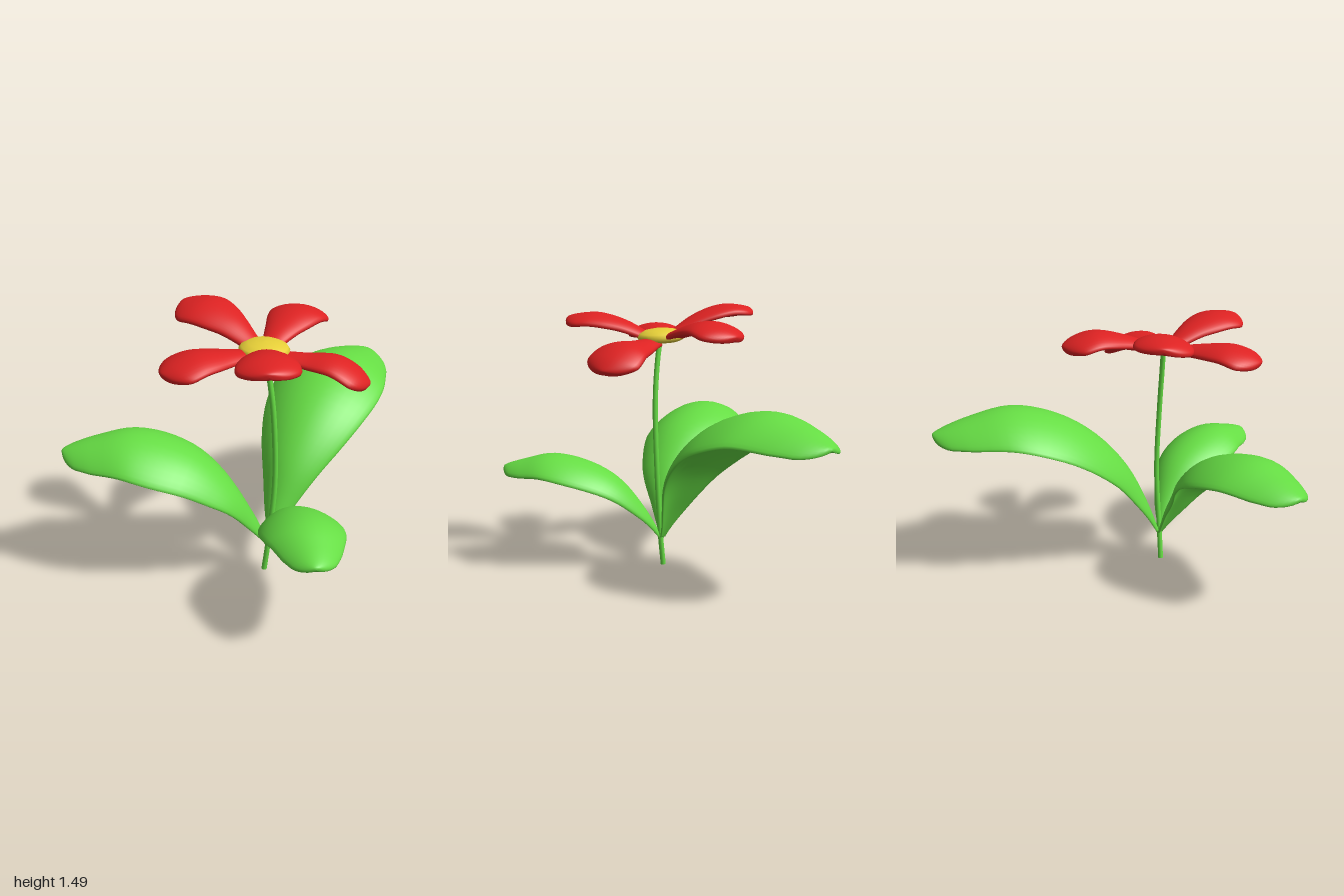
import * as THREE from 'three';

const V = (x, y, z) => new THREE.Vector3(x, y, z);
const green = new THREE.MeshStandardMaterial({ color: 0x66dd44 });
const red = new THREE.MeshStandardMaterial({ color: 0xdd2222 });
const yellow = new THREE.MeshStandardMaterial({ color: 0xe6cf38 });

// Arched blade swept along a spine. Evenly spaced outline values set the
// relative width, and the last stretch (cap) is rounded off to a blunt tip.
function blade(points, { width, thick, camber, outline, cap, roll = 0 }) {
  const curve = new THREE.CatmullRomCurve3(points);
  const spread = new THREE.SplineCurve(outline.map(k => new THREE.Vector2(0, k)));
  const rows = 40, ring = 32, pos = [], index = [];
  for (let i = 0; i <= rows; i++) {
    const t = i === rows ? 1 : (1 - Math.cos(Math.PI * i / rows)) / 2;
    const p = curve.getPointAt(t), T = curve.getTangentAt(t);
    const side = T.clone().cross(V(0, 1, 0)).normalize().applyAxisAngle(T, -roll);
    const up = side.clone().cross(T);
    const e = Math.max(0, (t - 1 + cap) / cap);
    const k = i === 0 ? 0 : spread.getPoint(t).y * Math.sqrt(Math.max(0, 1 - e * e));
    const w = width * k, h = thick * k ** 0.4;
    for (let j = 0; j < ring; j++) {
      const ang = j / ring * Math.PI * 2, u = Math.cos(ang), s = Math.sin(ang);
      const lift = h * Math.sign(s) * Math.abs(s) ** 0.7 - camber * w * u * u;
      const q = p.clone().addScaledVector(side, w * u).addScaledVector(up, lift);
      pos.push(q.x, q.y, q.z);
      if (i < rows) {
        const n = (j + 1) % ring, A = i * ring + j, B = i * ring + n;
        index.push(A, A + ring, B, B, A + ring, B + ring);
      }
    }
  }
  const g = new THREE.BufferGeometry();
  g.setAttribute('position', new THREE.Float32BufferAttribute(pos, 3));
  g.setIndex(index);
  g.computeVertexNormals();
  return g;
}

export function createModel() {
  const model = new THREE.Group();
  const add = (name, geometry, material) => {
    const m = new THREE.Mesh(geometry, material);
    m.name = name;
    model.add(m);
    return m;
  };

  // Stem
  const stem = new THREE.CatmullRomCurve3([
    V(0.16, 0, 0.305), V(0.185, 0.2, 0.3), V(0.215, 0.55, 0.288),
    V(0.212, 0.95, 0.3), V(0.19, 1.16, 0.305), V(0.165, 1.31, 0.305)]);
  add('stem', new THREE.TubeGeometry(stem, 40, 0.015, 12), green);
  const foot = add('stemFoot', new THREE.CircleGeometry(0.015, 12), green);
  foot.position.set(0.16, 0.001, 0.305);
  foot.rotation.x = Math.PI / 2;

  // Three leaves arching out from the lower stem
  const leaf = {
    thick: 0.027, camber: 0.4, cap: 0.06,
    outline: [0.05, 0.28, 0.54, 0.78, 0.94, 1, 0.92, 0.7, 0.4],
  };
  add('backLeaf', blade([
    V(0.18, 0.17, 0.29), V(0.185, 0.38, 0.2), V(0.195, 0.6, 0.08), V(0.205, 0.79, -0.1),
    V(0.213, 0.91, -0.3), V(0.22, 0.97, -0.55), V(0.235, 0.925, -0.8), V(0.25, 0.86, -1)],
  { ...leaf, width: 0.325 }), green);
  add('rightLeaf', blade([
    V(0.18, 0.16, 0.3), V(0.1, 0.36, 0.355), V(-0.01, 0.575, 0.43), V(-0.18, 0.735, 0.51),
    V(-0.45, 0.82, 0.62), V(-0.65, 0.785, 0.7), V(-0.81, 0.735, 0.765)],
  { ...leaf, width: 0.275, roll: 0.05 }), green);
  add('leftLeaf', blade([
    V(0.18, 0.16, 0.3), V(0.265, 0.33, 0.36), V(0.37, 0.495, 0.46), V(0.48, 0.585, 0.59),
    V(0.6, 0.625, 0.75), V(0.685, 0.595, 0.88), V(0.755, 0.56, 0.995)],
  { ...leaf, width: 0.215 }), green);

  // Domed flower centre
  const profile = [[0, 1.29], [0.1, 1.29], [0.125, 1.3], [0.132, 1.32],
    [0.12, 1.338], [0.085, 1.354], [0.04, 1.362], [0, 1.364]]
    .map(([r, y]) => new THREE.Vector2(r, y - 1.32));
  const centre = add('flowerCentre', new THREE.LatheGeometry(profile, 40), yellow);
  centre.position.set(0.16, 1.32, 0.305);
  centre.rotation.z = -0.05;

  // Petals: tip x and z, heights at root, arch and tip, roll about the spine
  const petals = [
    ['backPetal', 0.16, -0.27, 1.32, 1.395, 1.335, 0],
    ['leftPetal', 0.685, 0.18, 1.295, 1.28, 1.165, 0.1],
    ['frontLeftPetal', 0.42, 0.8, 1.315, 1.415, 1.4, 0],
    ['frontRightPetal', -0.19, 0.75, 1.305, 1.335, 1.275, 0],
    ['rightPetal', -0.39, 0.15, 1.33, 1.455, 1.44, 0.1],
  ];
  for (const [name, x, z, y0, y1, y2, roll] of petals) {
    const at = (f, y) => V(0.16 + (x - 0.16) * f, y, 0.305 + (z - 0.305) * f);
    const spine = [at(0.13, y0), at(0.4, y0 + (y1 - y0) * 0.65), at(0.68, y1),
      at(0.87, y1 + (y2 - y1) * 0.45), at(1, y2)];
    add(name, blade(spine, {
      width: 0.16, thick: 0.03, camber: 0.2, cap: 0.22, roll,
      outline: [0.36, 0.58, 0.86, 1, 0.9],
    }), red);
  }
  return model;
}
